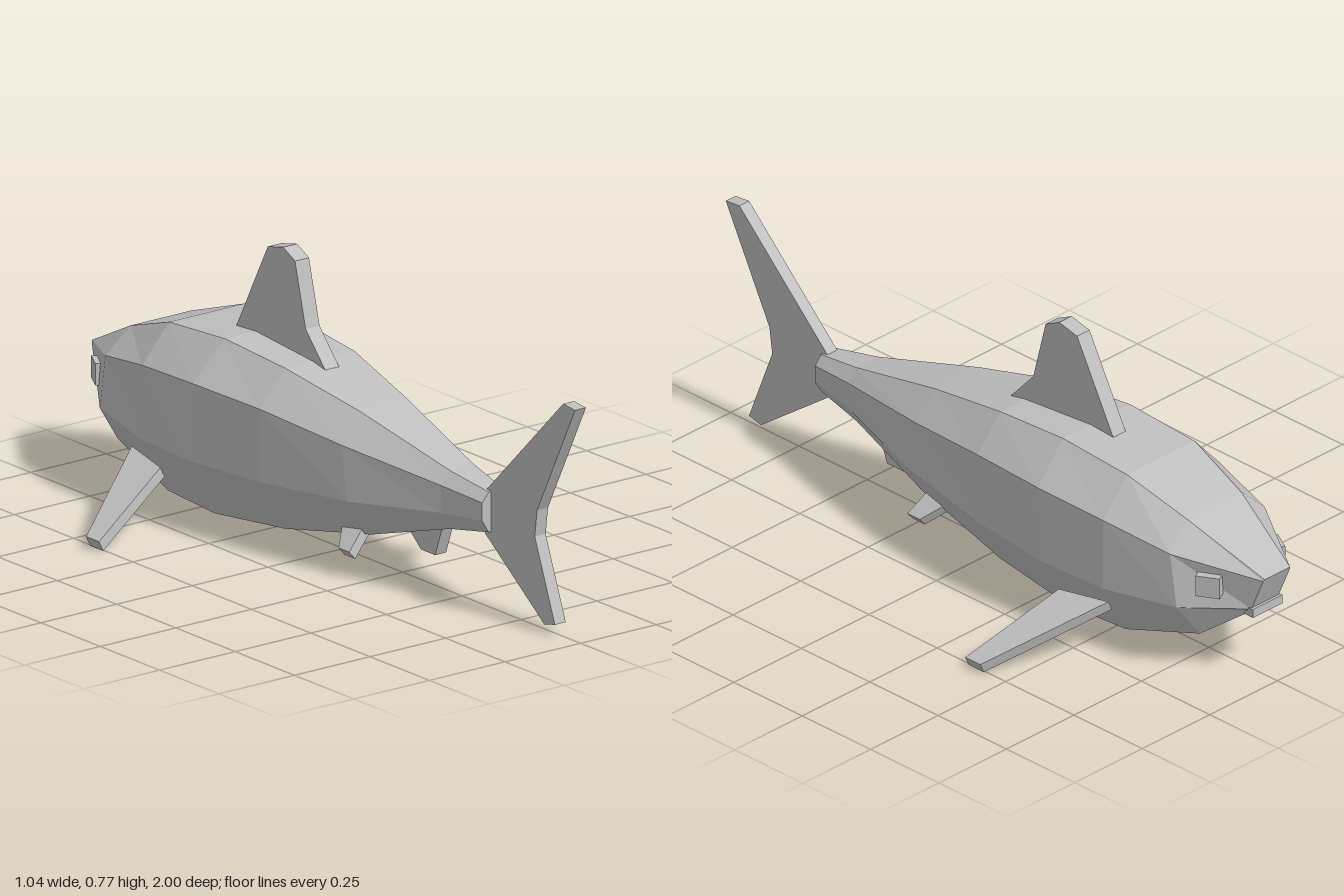
import * as THREE from 'three';

const grey = new THREE.MeshStandardMaterial({ color: 0xbfbfbf, flatShading: true });
grey.name = 'grey';

function part(name, geometry) {
  const mesh = new THREE.Mesh(geometry, grey);
  mesh.name = name;
  return mesh;
}

function extrude(points, depth) {
  const shape = new THREE.Shape(points.map(([x, y]) => new THREE.Vector2(x, y)));
  return new THREE.ExtrudeGeometry(shape, { depth, bevelEnabled: false });
}

// Upright fin on the centre line, profile given as [z, y]
function uprightFin(name, points, thickness) {
  const g = extrude(points, thickness);
  g.rotateY(-Math.PI / 2);
  g.translate(thickness / 2, 0, 0);
  return part(name, g);
}

// Drooping side fin, profile given as [span, z]; x, y place its lower root edge
function sideFin(name, side, points, thickness, droop, x, y) {
  const g = extrude(points.map(([s, z]) => [side * s, -z]), thickness);
  g.rotateX(-Math.PI / 2);
  g.rotateZ(-side * droop);
  g.translate(side * x, y, 0);
  return part(name, g);
}

// Eight-sided body lofted through leaning cross-sections
function bodyGeometry() {
  // zTop, zBottom, topY, upperY, lowerY, bottomY, half widths: top, side, bottom
  const sections = [
    [-1.0, -0.95, 0.33, 0.325, 0.225, 0.215, 0.047, 0.05, 0.045],
    [-0.77, -0.82, 0.44, 0.37, 0.22, 0.12, 0.1, 0.175, 0.105],
    [-0.575, -0.575, 0.505, 0.405, 0.2, 0.045, 0.125, 0.215, 0.13],
    [-0.34, -0.37, 0.52, 0.415, 0.2, 0.036, 0.125, 0.225, 0.135],
    [-0.1, -0.1, 0.5, 0.405, 0.205, 0.06, 0.115, 0.2, 0.115],
    [0.17, 0.22, 0.445, 0.368, 0.22, 0.12, 0.08, 0.148, 0.08],
    [0.5, 0.5, 0.36, 0.325, 0.25, 0.2, 0.04, 0.07, 0.04],
    [0.645, 0.645, 0.335, 0.31, 0.26, 0.225, 0.025, 0.047, 0.025],
  ];
  const rings = sections.map(([zt, zb, top, up, low, bot, wt, ws, wb]) =>
    [[ws, low], [ws, up], [wt, top], [-wt, top], [-ws, up], [-ws, low], [-wb, bot], [wb, bot]]
      .map(([x, y]) => [x, y, zb + (zt - zb) * (y - bot) / (top - bot)]));
  const pos = [];
  const tri = (a, b, c) => pos.push(...a, ...b, ...c);
  for (let i = 0; i < rings.length - 1; i++) {
    for (let j = 0; j < 8; j++) {
      const k = (j + 1) % 8, r = rings[i], n = rings[i + 1];
      tri(r[j], r[k], n[k]);
      tri(r[j], n[k], n[j]);
    }
  }
  // Snout and tail-root caps
  const first = rings[0], last = rings[rings.length - 1];
  for (let j = 1; j < 7; j++) {
    tri(first[0], first[j + 1], first[j]);
    tri(last[0], last[j], last[j + 1]);
  }
  const g = new THREE.BufferGeometry();
  g.setAttribute('position', new THREE.Float32BufferAttribute(pos, 3));
  g.computeVertexNormals();
  return g;
}

export function createModel() {
  const model = new THREE.Group();
  model.name = 'shark';
  model.add(part('body', bodyGeometry()));

  // Fins on the centre line
  model.add(uprightFin('dorsalFin', [[-0.03, 0.47], [-0.13, 0.58], [-0.175, 0.755],
    [-0.225, 0.78], [-0.29, 0.765], [-0.43, 0.5], [-0.3, 0.47]], 0.046));
  model.add(uprightFin('tailFin', [[0.62, 0.33], [0.95, 0.655], [1, 0.65], [0.84, 0.335],
    [0.83, 0.26], [0.915, 0.04], [0.87, 0.03], [0.62, 0.215]], 0.036));
  model.add(uprightFin('analFin', [[0.45, 0.21], [0.41, 0.1], [0.35, 0.1], [0.28, 0.16],
    [0.28, 0.2]], 0.036));

  // Mirrored fins and eyes
  for (const side of [1, -1]) {
    const label = side > 0 ? 'left' : 'right';
    model.add(sideFin(label + 'PectoralFin', side,
      [[0, -0.605], [0.325, -0.425], [0.325, -0.37], [0.03, -0.45]], 0.031, 0.452, 0.212, 0.15));
    model.add(sideFin(label + 'PelvicFin', side,
      [[0, 0.1], [0.09, 0.165], [0.09, 0.21], [0, 0.19]], 0.03, 0.72, 0.058, 0.119));

    const eye = part(label + 'Eye', new THREE.BoxGeometry(0.03, 0.06, 0.066));
    eye.position.set(side * 0.124, 0.295, -0.873);
    eye.rotation.y = side * 0.5;
    model.add(eye);
  }

  // Small lip under the snout
  const lip = part('lip', new THREE.BoxGeometry(0.11, 0.025, 0.04));
  lip.position.set(0, 0.217, -0.945);
  model.add(lip);

  return model;
}
